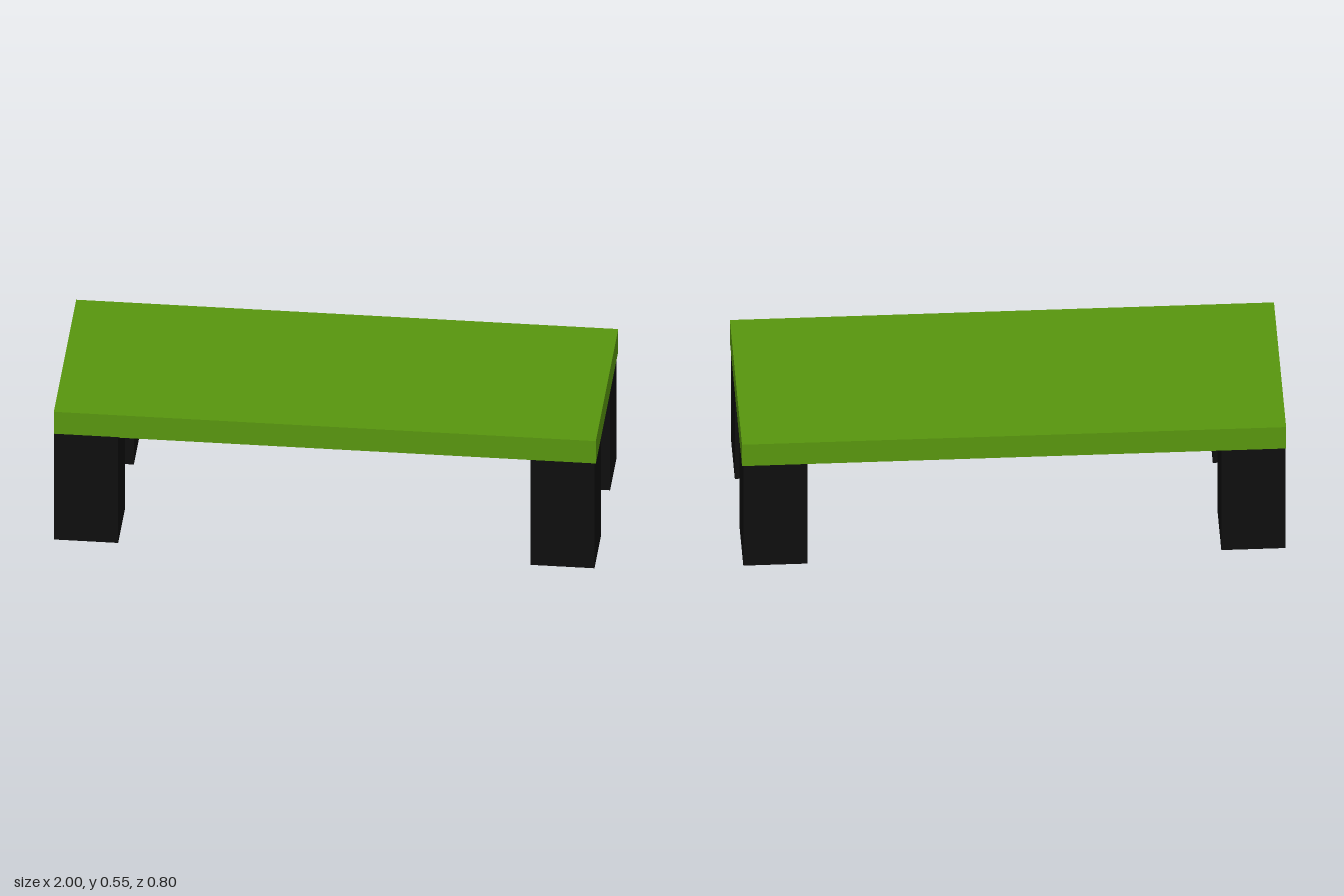
import * as THREE from 'three';

export function createModel() {
  const group = new THREE.Group();
  const green = new THREE.MeshStandardMaterial({ color: 0x58960e });
  const black = new THREE.MeshStandardMaterial({ color: 0x0d0d0d });

  const addBox = (name, size, position, material) => {
    const mesh = new THREE.Mesh(new THREE.BoxGeometry(...size), material);
    mesh.name = name;
    mesh.position.set(...position);
    group.add(mesh);
  };

  // Flat slab top
  addBox('tableTop', [2, 0.096, 0.795], [0, 0.499, -0.001], green);

  // Four square legs, placed slightly unevenly under the corners
  const legs = [
    ['frontRightLeg', -0.88, 0.281],
    ['frontLeftLeg', 0.877, 0.278],
    ['backRightLeg', -0.88, -0.275],
    ['backLeftLeg', 0.877, -0.275],
  ];
  for (const [name, x, z] of legs) {
    addBox(name, [0.236, 0.453, 0.236], [x, 0.2265, z], black);
  }

  return group;
}
